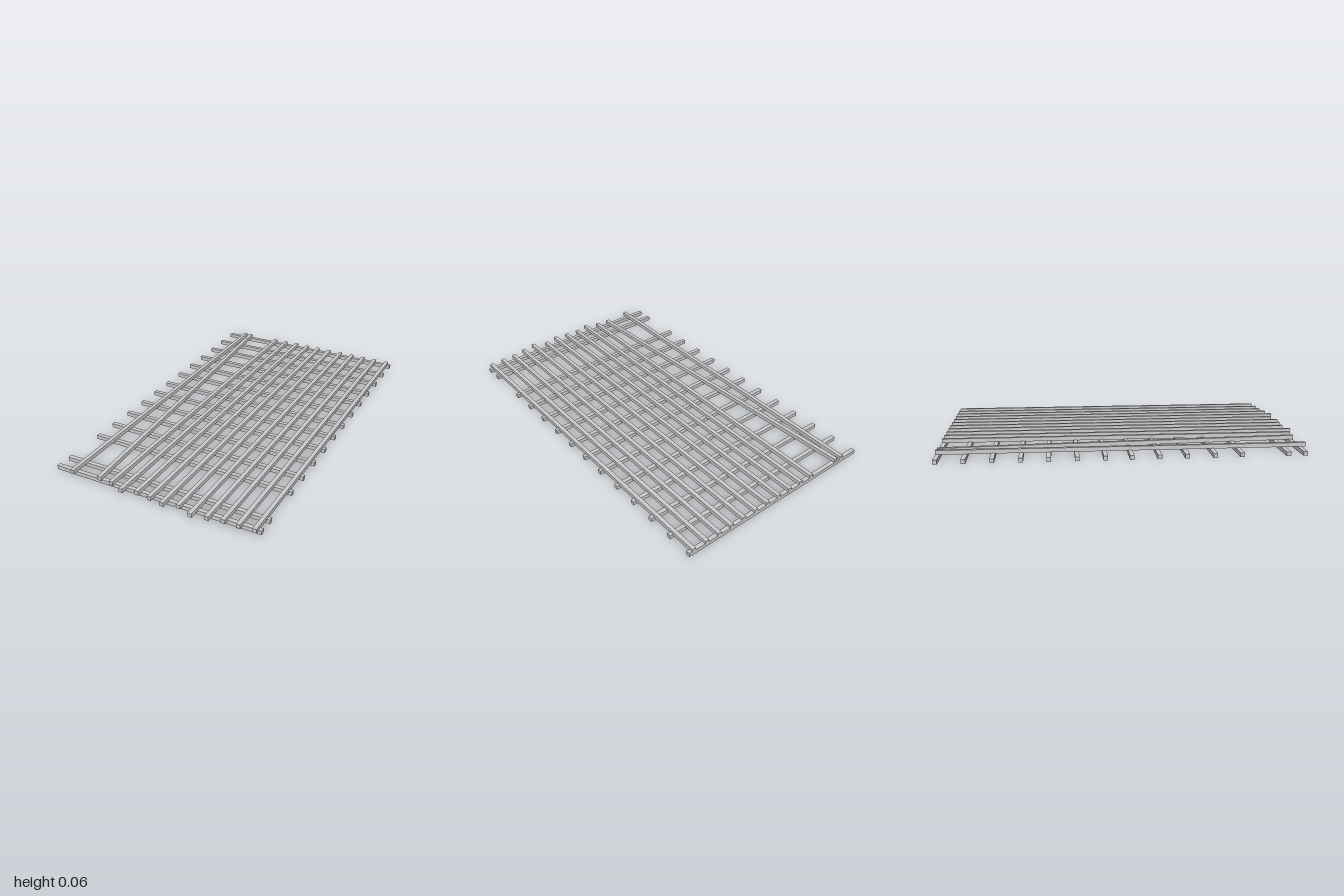
import * as THREE from 'three';

export function createModel() {
  const model = new THREE.Group();
  const material = new THREE.MeshStandardMaterial({ color: 0xcccccc, flatShading: true });
  const T = 0.023; // square bar thickness

  // Square bar running between two points
  function bar(name, from, to, thickness = T) {
    const a = new THREE.Vector3(...from), b = new THREE.Vector3(...to);
    const mesh = new THREE.Mesh(new THREE.BoxGeometry(thickness, thickness, a.distanceTo(b)), material);
    mesh.position.copy(a).add(b).multiplyScalar(0.5);
    mesh.lookAt(b);
    mesh.name = name;
    model.add(mesh);
  }

  // Lower layer: cross bars, rising slightly towards +x
  const crossZ = [-0.988, -0.847, -0.704, -0.558, -0.415, -0.27, -0.124,
    0.013, 0.157, 0.302, 0.45, 0.593, 0.841, 0.931];
  crossZ.forEach((z, i) => bar(`crossBar${i + 1}`, [-0.602, 0.0125, z], [0.602, 0.031, z]));

  // Upper layer: long bars as [x, front end z], all flush at the back
  const longBars = [[-0.485, 0.966], [-0.243, 0.957], [-0.163, 0.987], [-0.081, 0.967],
    [0, 0.975], [0.081, 0.988], [0.163, 0.967], [0.247, 0.998], [0.329, 0.982],
    [0.41, 0.967], [0.491, 0.966], [0.573, 0.96]];
  longBars.forEach(([x, z], i) => {
    const y = 0.035 + (x + 0.485) * 0.0105;
    bar(`longBar${i + 1}`, [x, y, -1], [x, y, z], 0.0225);
  });

  // Slanted long bar crossing the wide gap
  bar('slantedBar', [-0.444, 0.0365, -0.997], [-0.322, 0.0365, 0.95]);

  return model;
}
